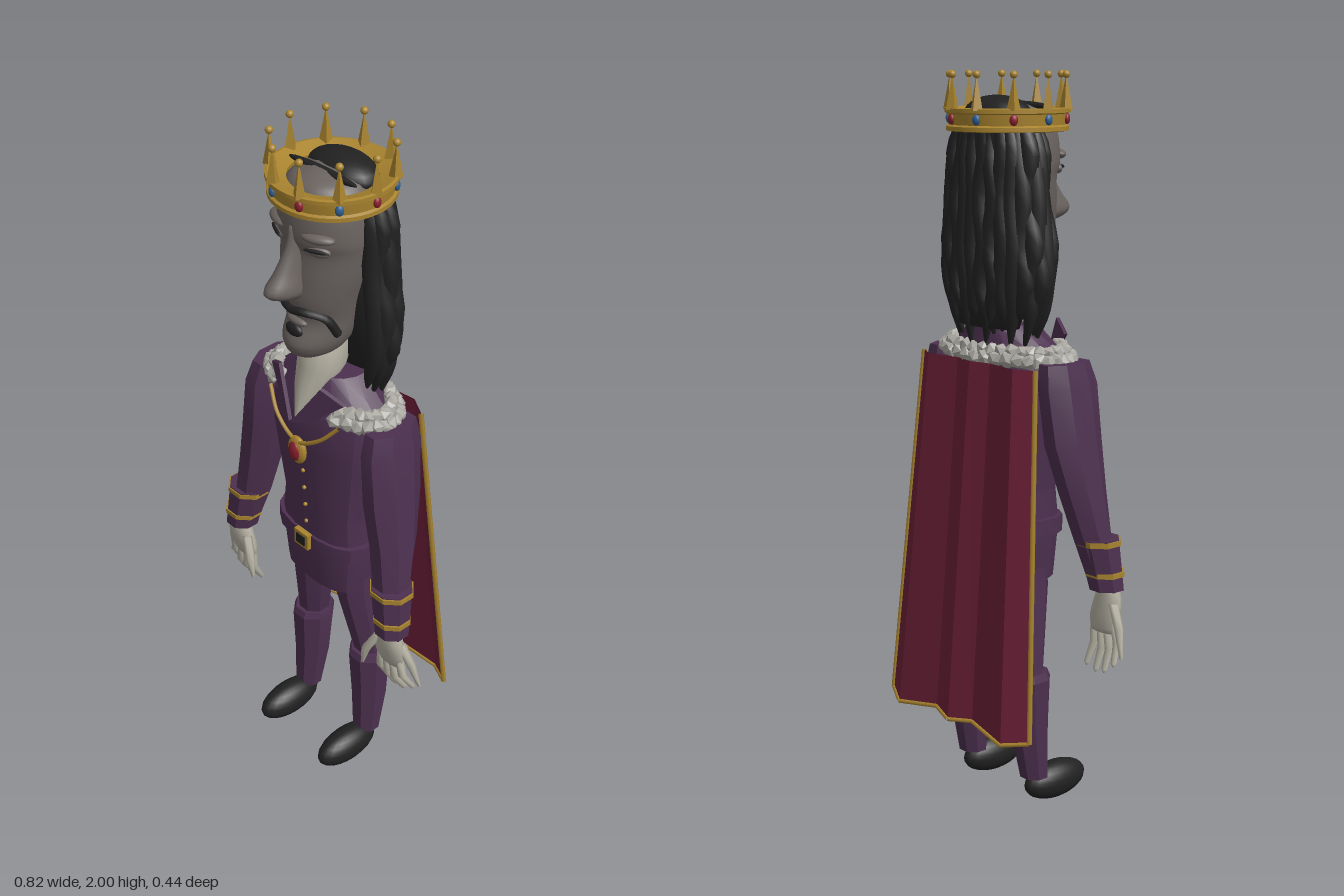
import * as THREE from 'three';
import { toCreasedNormals } from 'three/addons/utils/BufferGeometryUtils.js';

const mat = (name, color) => {
  const m = new THREE.MeshStandardMaterial({ color });
  m.name = name;
  return m;
};

// Closed loft through horizontal rings [x, y, z, rx, rz], listed from top to bottom
function loft(rings, n = 12, { power = 1, crease = 0, smooth = 0 } = {}) {
  let rs = rings;
  if (smooth) {
    const pos = new THREE.CatmullRomCurve3(rings.map(r => new THREE.Vector3(r[0], r[1], r[2])));
    const rad = new THREE.CatmullRomCurve3(rings.map((r, i) => new THREE.Vector3(r[3], r[4], i * 0.1)));
    rs = [];
    for (let i = 0; i <= smooth; i++) {
      const p = pos.getPoint(i / smooth), q = rad.getPoint(i / smooth);
      rs.push([p.x, p.y, p.z, Math.max(q.x, 0.001), Math.max(q.y, 0.001)]);
    }
  }
  const v = [], idx = [], sp = t => Math.sign(t) * Math.abs(t) ** power;
  for (const [x, y, z, rx, rz] of rs)
    for (let i = 0; i < n; i++) {
      const a = (i + 0.5) / n * Math.PI * 2;
      v.push(x + rx * sp(Math.sin(a)), y, z + rz * sp(Math.cos(a)));
    }
  const last = rs.length - 1, top = rs.length * n, bot = top + 1;
  v.push(...rs[0].slice(0, 3), ...rs[last].slice(0, 3));
  for (let i = 0; i < n; i++) {
    const j = (i + 1) % n;
    for (let k = 0; k < last; k++) {
      const a = k * n + i, b = k * n + j;
      idx.push(a, a + n, b + n, a, b + n, b);
    }
    idx.push(top, i, j, bot, last * n + j, last * n + i);
  }
  const g = new THREE.BufferGeometry();
  g.setAttribute('position', new THREE.Float32BufferAttribute(v, 3));
  g.setIndex(idx);
  g.computeVertexNormals();
  return crease ? toCreasedNormals(g, crease) : g;
}

const tube = (pts, r, seg = 24) => new THREE.TubeGeometry(
  new THREE.CatmullRomCurve3(pts.map(p => new THREE.Vector3(...p))), seg, r, 6);

export function createModel() {
  const model = new THREE.Group();
  model.name = 'king';
  const purple = mat('purple cloth', 0x4c304f), crimson = mat('crimson cape', 0x6e2038);
  const gold = mat('gold', 0xa9842f), skin = mat('pale skin', 0xb3afa1), face = mat('grey face', 0x69625f);
  const black = mat('black', 0x212121), fur = mat('fur', 0xa9a7a0);
  const red = mat('red gem', 0x8a1f2c), blue = mat('blue gem', 0x2f5f94);
  crimson.side = THREE.DoubleSide;

  const add = (name, geo, m, pos, scale, parent = model) => {
    const mesh = new THREE.Mesh(geo, m);
    mesh.name = name;
    if (pos) mesh.position.set(...pos);
    if (scale) mesh.scale.set(...scale);
    parent.add(mesh);
    return mesh;
  };
  const ball = new THREE.SphereGeometry(1, 20, 14);
  const flat = { crease: 0.3 };

  // Tunic, belt, buckle and buttons
  add('tunic', loft([[0, 1.27, 0, 0.17, 0.08], [0, 1.23, 0, 0.183, 0.1], [0, 1.12, 0, 0.18, 0.112], [0, 0.9, 0, 0.145, 0.095],
    [0, 0.8, 0, 0.155, 0.1], [0, 0.65, 0, 0.14, 0.09]], 16, { power: 0.75, crease: 0.5 }), purple);
  add('belt', loft([[0, 0.825, 0, 0.168, 0.107], [0, 0.78, 0, 0.168, 0.107]], 16, { power: 0.75, crease: 0.5 }), purple);
  add('buckle', new THREE.BoxGeometry(0.055, 0.05, 0.016), gold, [0, 0.805, 0.11]);
  add('buckleInset', new THREE.BoxGeometry(0.034, 0.03, 0.006), black, [0, 0.805, 0.118]);
  for (const y of [1.04, 0.98, 0.92, 0.86]) add('button', ball, gold, [0, y, 0.099 + (y - 0.9) * 0.05], [0.006, 0.006, 0.006]);

  // Shoulder mantle, neck and pointed lapels
  add('mantle', loft([[0, 1.345, -0.015, 0.095, 0.085], [0, 1.3, -0.005, 0.15, 0.1], [0, 1.25, 0, 0.22, 0.115]], 16, flat), purple);
  add('neck', loft([[0, 1.48, 0.02, 0.06, 0.065], [0, 1.37, 0.035, 0.064, 0.068], [0, 1.31, 0.065, 0.045, 0.055],
    [0, 1.23, 0.12, 0.006, 0.012]], 14), skin);
  for (const s of [-1, 1]) {
    const shape = new THREE.Shape([[0.003, 1.225], [0.08, 1.35], [0.14, 1.315], [0.05, 1.235]]
      .map(([x, y]) => new THREE.Vector2(s * x, y)));
    const g = new THREE.ExtrudeGeometry(shape, { depth: 0.012, bevelEnabled: false });
    const p = g.attributes.position;
    for (let i = 0; i < p.count; i++) p.setZ(i, p.getZ(i) + 0.14 - Math.abs(p.getX(i)) * 0.45);
    g.computeVertexNormals();
    add('lapel', g, purple);
  }

  // Fur trim around the shoulders, open at the front
  const tuft = new THREE.IcosahedronGeometry(0.026, 0);
  for (let row = 0; row < 2; row++)
    for (let i = 0; i < 30; i++) {
      const a = 0.55 + (i + row * 0.5) / 30 * (Math.PI * 2 - 1.1), k = row ? 0.9 : 1;
      const m = add('furTuft', tuft, fur, [Math.sin(a) * 0.218 * k, 1.262 + row * 0.018, Math.cos(a) * 0.11 * k - 0.002], [1, 0.8, 1]);
      m.rotation.set(i * 1.3, i * 2.1 + row, i * 0.7);
    }

  // Chain and pendant
  add('chain', tube([[-0.135, 1.25, 0.1], [-0.08, 1.19, 0.122], [0, 1.15, 0.128], [0.08, 1.19, 0.122], [0.135, 1.25, 0.1]], 0.006), gold);
  add('pendant', ball, gold, [0, 1.12, 0.125], [0.033, 0.043, 0.016]);
  add('pendantGem', ball, red, [0, 1.12, 0.134], [0.021, 0.03, 0.014]);

  for (const s of [-1, 1]) {
    // Sleeve, cuff and gold bands
    add('sleeve', loft([[s * 0.222, 1.26, 0, 0.045, 0.08], [s * 0.23, 1.2, 0.005, 0.052, 0.095], [s * 0.245, 1.05, 0.012, 0.057, 0.09],
      [s * 0.268, 0.92, 0.025, 0.056, 0.072], [s * 0.285, 0.8, 0.045, 0.054, 0.055], [s * 0.31, 0.66, 0.07, 0.042, 0.042]], 8, flat), purple);
    add('cuff', loft([[s * 0.297, 0.795, 0.055, 0.062, 0.058], [s * 0.318, 0.655, 0.07, 0.05, 0.048]], 8, flat), purple);
    for (const [x, y, z, r] of [[0.299, 0.785, 0.056, 0.065], [0.313, 0.7, 0.067, 0.057]])
      add('cuffBand', loft([[s * x, y + 0.007, z, r, r - 0.004], [s * x, y - 0.007, z, r, r - 0.004]], 8, flat), gold);

    // Hand with four fingers and a thumb
    add('palm', loft([[s * 0.322, 0.67, 0.075, 0.026, 0.024], [s * 0.318, 0.62, 0.075, 0.046, 0.027], [s * 0.312, 0.57, 0.07, 0.052, 0.024],
      [s * 0.312, 0.535, 0.065, 0.043, 0.016]], 10, { smooth: 8 }), skin);
    for (const [x, y, tx, ty, r] of [[0.278, 0.56, 0.276, 0.435, 0.013], [0.302, 0.55, 0.31, 0.425, 0.013],
      [0.325, 0.55, 0.342, 0.43, 0.013], [0.348, 0.57, 0.376, 0.455, 0.012]])
      add('finger', loft([[s * x, y, 0.068, r, r], [s * (x + tx) / 2, (y + ty) / 2, 0.068, r, r],
        [s * tx, ty + 0.01, 0.042, r * 0.7, r * 0.7], [s * tx, ty, 0.04, 0.002, 0.002]], 6), skin);
    add('thumb', loft([[s * 0.28, 0.62, 0.085, 0.014, 0.014], [s * 0.25, 0.56, 0.1, 0.014, 0.014], [s * 0.238, 0.5, 0.102, 0.005, 0.005]], 6), skin);
    add('handEdge', loft([[s * 0.35, 0.62, 0.065, 0.014, 0.014], [s * 0.38, 0.56, 0.055, 0.013, 0.013], [s * 0.403, 0.485, 0.042, 0.005, 0.005]], 6), skin);

    // Leg, boot-shaped trouser and shoe
    add('thigh', loft([[s * 0.085, 0.7, -0.015, 0.06, 0.07], [s * 0.09, 0.62, -0.015, 0.06, 0.068], [s * 0.125, 0.36, -0.04, 0.044, 0.045]], 8, flat), purple);
    add('shin', loft([[s * 0.122, 0.395, -0.035, 0.055, 0.058], [s * 0.123, 0.375, -0.035, 0.061, 0.066], [s * 0.126, 0.23, -0.032, 0.054, 0.055],
      [s * 0.13, 0.085, -0.017, 0.042, 0.04]], 8, flat), purple);
    add('shoe', ball, black, [s * 0.13, 0.053, 0.062], [0.047, 0.053, 0.107]);
  }

  // Cape: pleated sheet with gold edging
  const pleats = [[-0.225, -0.105, -0.288, -0.18, 0.27], [-0.17, -0.135, -0.215, -0.218, 0.255], [-0.065, -0.12, -0.075, -0.196, 0.275],
    [0, -0.135, 0, -0.219, 0.265], [0.065, -0.12, 0.075, -0.196, 0.275], [0.17, -0.135, 0.215, -0.218, 0.255], [0.225, -0.105, 0.288, -0.18, 0.27]];
  const cv = [], ci = [];
  pleats.forEach(([x, z, bx, bz, by], i) => {
    cv.push(x, 1.25, z, bx, by, bz);
    if (i) ci.push(2 * i - 2, 2 * i, 2 * i - 1, 2 * i, 2 * i + 1, 2 * i - 1);
  });
  let cape = new THREE.BufferGeometry();
  cape.setAttribute('position', new THREE.Float32BufferAttribute(cv, 3));
  cape.setIndex(ci);
  cape = cape.toNonIndexed();
  cape.computeVertexNormals();
  add('cape', cape, crimson);
  for (const [x, z, bx, bz, by] of [pleats[0], pleats[6]]) add('capeSideTrim', tube([[x, 1.25, z], [bx, by, bz]], 0.007, 2), gold);
  for (let i = 1; i < pleats.length; i++) {
    const [a, b] = [pleats[i - 1], pleats[i]];
    add('capeHemTrim', tube([[a[2], a[4], a[3]], [b[2], b[4], b[3]]], 0.006, 2), gold);
  }

  // Head from [height, half width, front, back], and the long pointed nose
  const section = rows => rows.map(([y, w, f, b]) => [0, y, (f + b) / 2, w, (f - b) / 2]);
  add('head', loft(section([[1.92, 0.03, 0.05, -0.05], [1.9, 0.09, 0.105, -0.09], [1.85, 0.123, 0.13, -0.1], [1.77, 0.133, 0.136, -0.1],
    [1.73, 0.13, 0.125, -0.1], [1.66, 0.122, 0.132, -0.1], [1.59, 0.105, 0.135, -0.09], [1.53, 0.093, 0.122, -0.08], [1.47, 0.082, 0.148, -0.06],
    [1.435, 0.064, 0.14, -0.03], [1.415, 0.035, 0.115, 0.02]]), 32, { smooth: 36 }), face);
  add('nose', loft(section([[1.8, 0.012, 0.137, 0.1], [1.74, 0.02, 0.152, 0.08], [1.68, 0.028, 0.188, 0.08], [1.64, 0.036, 0.22, 0.08],
    [1.62, 0.034, 0.205, 0.08], [1.6, 0.018, 0.15, 0.08]]), 14, { smooth: 18 }), face);
  add('lowerLip', ball, face, [0, 1.525, 0.118], [0.035, 0.012, 0.016]);
  add('moustache', tube([[-0.09, 1.5, 0.062], [-0.075, 1.55, 0.09], [-0.035, 1.566, 0.127], [0, 1.56, 0.132], [0.035, 1.566, 0.127],
    [0.075, 1.55, 0.09], [0.09, 1.5, 0.062]], 0.012), black);
  add('goatee', ball, black, [0, 1.5, 0.128], [0.03, 0.02, 0.014]);
  for (const s of [-1, 1]) {
    add('brow', ball, face, [s * 0.07, 1.785, 0.11], [0.045, 0.014, 0.022]).rotation.y = s * 0.4;
    add('eyelid', ball, face, [s * 0.07, 1.748, 0.107], [0.032, 0.016, 0.016]).rotation.y = s * 0.4;
    add('eyelash', ball, black, [s * 0.074, 1.753, 0.12], [0.034, 0.0055, 0.005]).rotation.y = s * 0.45;
  }

  // Hair: crown tuft, back mass and wavy locks
  add('hairTop', ball, black, [0, 1.89, -0.035], [0.107, 0.048, 0.07]);
  add('fringe', ball, black, [0, 1.91, 0.032], [0.115, 0.012, 0.012]).rotation.y = 0.06;
  add('hairBack', loft([[0, 1.87, -0.04, 0.135, 0.08], [0, 1.78, -0.04, 0.15, 0.085], [0, 1.6, -0.045, 0.155, 0.08], [0, 1.48, -0.055, 0.15, 0.068],
    [0, 1.34, -0.07, 0.115, 0.045]], 24, { smooth: 12 }), black);
  for (let i = 0; i < 19; i++) {
    const t = i / 18 * 2 - 1, a = Math.PI + t * 1.95, side = Math.abs(t);
    const w = Math.sin(i * 2.4) * 0.01, end = 1.32 + Math.sin(i * 3.7) * 0.035;
    const at = (y, k, r, d = 0) => [Math.sin(a) * 0.145 * k + d, y, -0.035 + Math.cos(a) * 0.075 * k, r, r];
    add('hairLock', loft([at(1.88, 0.8, 0.018), at(1.8, 0.98, 0.026, w), at(1.68, 1.03, 0.028, -w), at(1.56, 1.06 + side * 0.1, 0.028, w),
      at(1.46, 1.06 + side * 0.13, 0.025, -w), at(1.38, 0.98 + side * 0.05, 0.02, w), at(end, 0.9, 0.004)], 8, { smooth: 16 }), black);
  }

  // Crown: band, spikes with beads, alternating gems
  const profile = [[0.115, 1.86], [0.152, 1.845], [0.161, 1.847], [0.161, 1.858], [0.154, 1.862], [0.157, 1.89], [0.165, 1.893],
    [0.165, 1.904], [0.157, 1.906], [0.112, 1.89], [0.115, 1.86]].map(p => new THREE.Vector2(...p));
  add('crownBand', toCreasedNormals(new THREE.LatheGeometry(profile, 40), 0.5), gold);
  const spike = toCreasedNormals(new THREE.ConeGeometry(0.018, 0.09, 4), 0.3);
  for (let k = 0; k < 10; k++) {
    const g = new THREE.Group();
    g.name = 'crownPoint';
    g.rotation.y = k * Math.PI / 5;
    add('spike', spike, gold, [0.155, 1.945, 0], null, g);
    add('bead', ball, gold, [0.155, 1.99, 0], [0.01, 0.01, 0.01], g);
    add('gem', ball, k % 2 ? blue : red, [0.158, 1.877, 0], [0.008, 0.014, 0.011], g);
    model.add(g);
  }
  return model;
}
